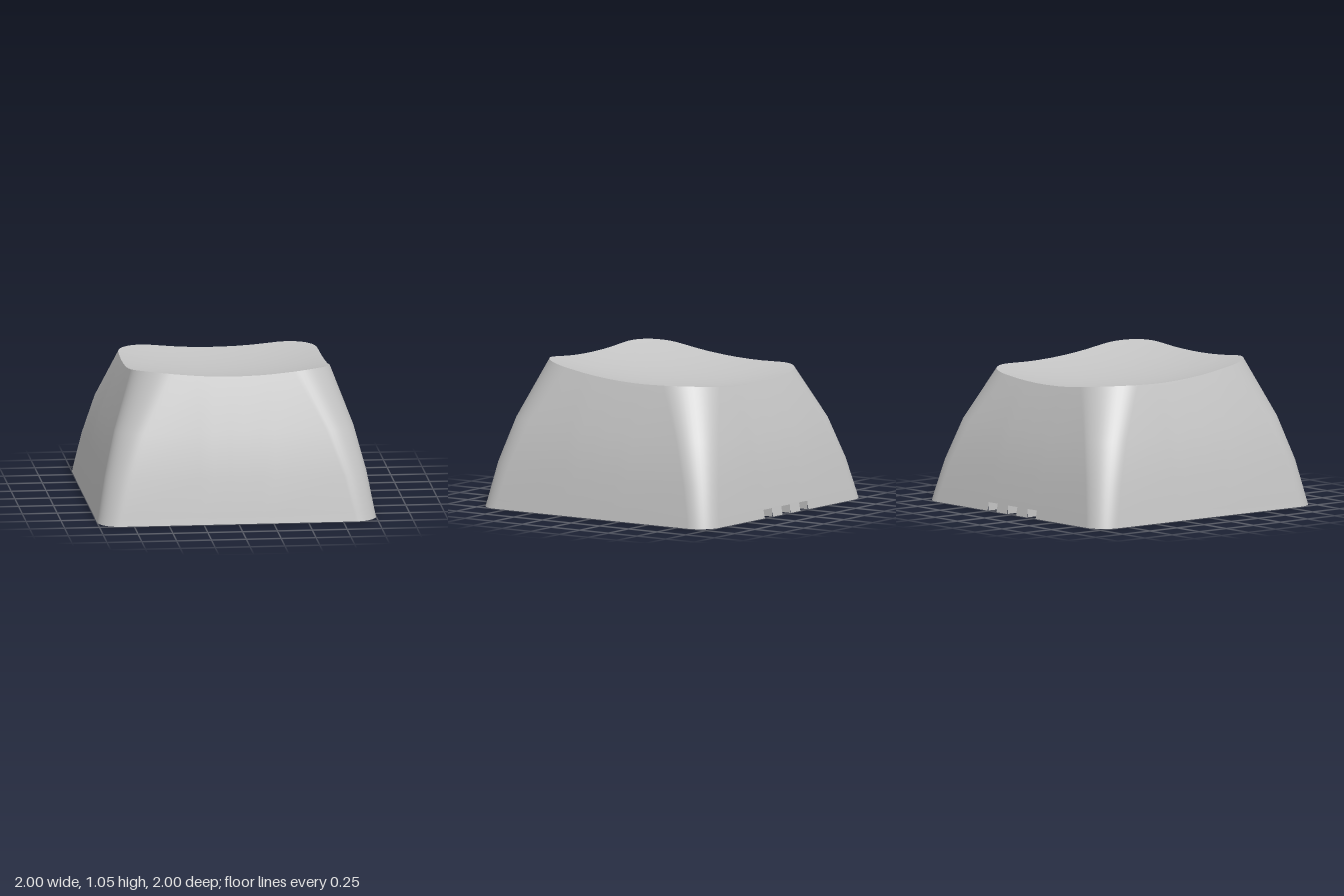
import * as THREE from 'three';
import { toCreasedNormals } from 'three/addons/utils/BufferGeometryUtils.js';

const NOTCHES = [-0.22, 0, 0.22];
const NOTCH_HALF = 0.05, NOTCH_TOP = 0.06;
const EDGE = [0.27, 0.17, 0.05, -0.05, -0.17, -0.27];
const SHOULDER = 0.53, CEILING = 0.65;

// Rounded square as [x, z] points; bulge bows the edges outward
function outline(half, radius, bulge = 0) {
  const quarter = [];
  const c = half - radius;
  for (let i = 0; i <= 12; i++) {
    const a = (i / 12) * Math.PI / 2;
    quarter.push([c + radius * Math.cos(a), c + radius * Math.sin(a)]);
  }
  EDGE.forEach((x) => quarter.push([x, half]));
  const bow = (v) => 1 + bulge * (1 - (v / half) ** 2);
  const points = [];
  for (let k = 0; k < 4; k++) {
    const cos = [1, 0, -1, 0][k], sin = [0, 1, 0, -1][k];
    for (const [x, z] of quarter) {
      const px = x * cos - z * sin, pz = x * sin + z * cos;
      points.push([px * bow(pz), pz * bow(px)]);
    }
  }
  return points;
}

// Lift an outline to a row of 3D points, optionally scaled about the centre
const row = (points, height, s = 1) =>
  points.map(([x, z]) => [x * s, height(x * s, z * s), z * s]);

// Skin closed rows of equal length; keep(band, column) leaves cells out
function loft(rows, keep = () => true) {
  const n = rows[0].length, index = [];
  for (let i = 0; i < rows.length - 1; i++) {
    for (let j = 0; j < n; j++) {
      if (!keep(i, j)) continue;
      const a = i * n + j, b = i * n + (j + 1) % n;
      index.push(a, a + n, b, b, a + n, b + n);
    }
  }
  const g = new THREE.BufferGeometry();
  g.setAttribute('position', new THREE.Float32BufferAttribute(rows.flat(2), 3));
  g.setIndex(index);
  g.computeVertexNormals();
  return g;
}

export function createModel() {
  const group = new THREE.Group();
  const plastic = new THREE.MeshStandardMaterial({ color: 0xc4c4c4 });
  plastic.name = 'grey plastic';
  const add = (name, geometry) => {
    const mesh = new THREE.Mesh(geometry, plastic);
    mesh.name = name;
    group.add(mesh);
    return mesh;
  };

  // Tilted, spherically scooped top surface
  const dish = (x, z) => 0.893 + 0.07 * z + 0.142 * (x * x + z * z);
  const flat = (y) => () => y;

  const outerBase = outline(1, 0.16);
  const outerNotch = outline(0.988, 0.162);
  const topEdge = outline(0.703, 0.28, 0.024);
  const innerBase = outline(0.828, 0.035);
  const innerNotch = outline(0.818, 0.035);
  const innerShoulder = outline(0.735, 0.045);
  const innerTop = outline(0.54, 0.05);

  const inNotch = (j) => {
    const [x0, z0] = outerBase[j], [x1] = outerBase[(j + 1) % outerBase.length];
    const mid = (x0 + x1) / 2;
    return z0 < -0.99 && NOTCHES.some((n) => Math.abs(mid - n) < NOTCH_HALF * 0.9);
  };

  // Outer walls, curving in toward the top
  add('outerWalls', loft([
    row(outerBase, flat(0)),
    row(outerNotch, flat(NOTCH_TOP)),
    row(outline(0.94, 0.18), (x, z) => 0.308 + 0.016 * z),
    row(outline(0.857, 0.215, 0.004), (x, z) => 0.615 + 0.028 * z),
    row(topEdge, dish),
  ], (i, j) => i > 0 || !inNotch(j)));

  // Scooped top
  const topRows = [];
  for (let i = 0; i <= 12; i++) topRows.push(row(topEdge, dish, 1 - i / 12));
  add('dishedTop', loft(topRows));

  // Hollow underside: walls, sloping shoulder and flat ceiling
  add('innerWalls', loft([
    row(innerShoulder, flat(SHOULDER)),
    row(innerNotch, flat(NOTCH_TOP)),
    row(innerBase, flat(0)),
  ], (i, j) => i < 1 || !inNotch(j)));
  add('innerShoulder', loft([row(innerTop, flat(CEILING)), row(innerShoulder, flat(SHOULDER))]));
  add('innerCeiling', loft([row(innerTop, flat(CEILING), 0), row(innerTop, flat(CEILING))]));
  add('bottomRim', loft([row(innerBase, flat(0)), row(outerBase, flat(0))], (i, j) => !inNotch(j)));

  // Three notches through the back wall
  add('notchRoofs', loft(
    [row(innerNotch, flat(NOTCH_TOP)), row(outerNotch, flat(NOTCH_TOP))],
    (i, j) => inNotch(j)));
  for (const n of NOTCHES) {
    for (const side of [-1, 1]) {
      const cheek = add('notchSide', new THREE.PlaneGeometry(0.17, NOTCH_TOP));
      cheek.position.set(n + side * NOTCH_HALF, NOTCH_TOP / 2, -0.907);
      cheek.rotation.y = -side * Math.PI / 2;
    }
  }

  // Stem with a cross-shaped socket
  const R = 0.3, arm = 0.272, w = 0.082, depth = 0.4;
  const disc = new THREE.Shape().absarc(0, 0, R, 0, Math.PI * 2);
  disc.holes.push(new THREE.Path([
    [arm, w], [w, w], [w, arm], [-w, arm], [-w, w], [-arm, w],
    [-arm, -w], [-w, -w], [-w, -arm], [w, -arm], [w, -w], [arm, -w],
  ].map(([x, y]) => new THREE.Vector2(x, y))));
  const socket = new THREE.ExtrudeGeometry(disc, { depth, bevelEnabled: false, curveSegments: 48 });
  socket.rotateX(-Math.PI / 2);
  add('stemSocket', toCreasedNormals(socket, 0.5));
  add('stemRoot', new THREE.CylinderGeometry(R, R, CEILING - depth, 48))
    .position.y = (CEILING + depth) / 2;

  return group;
}
